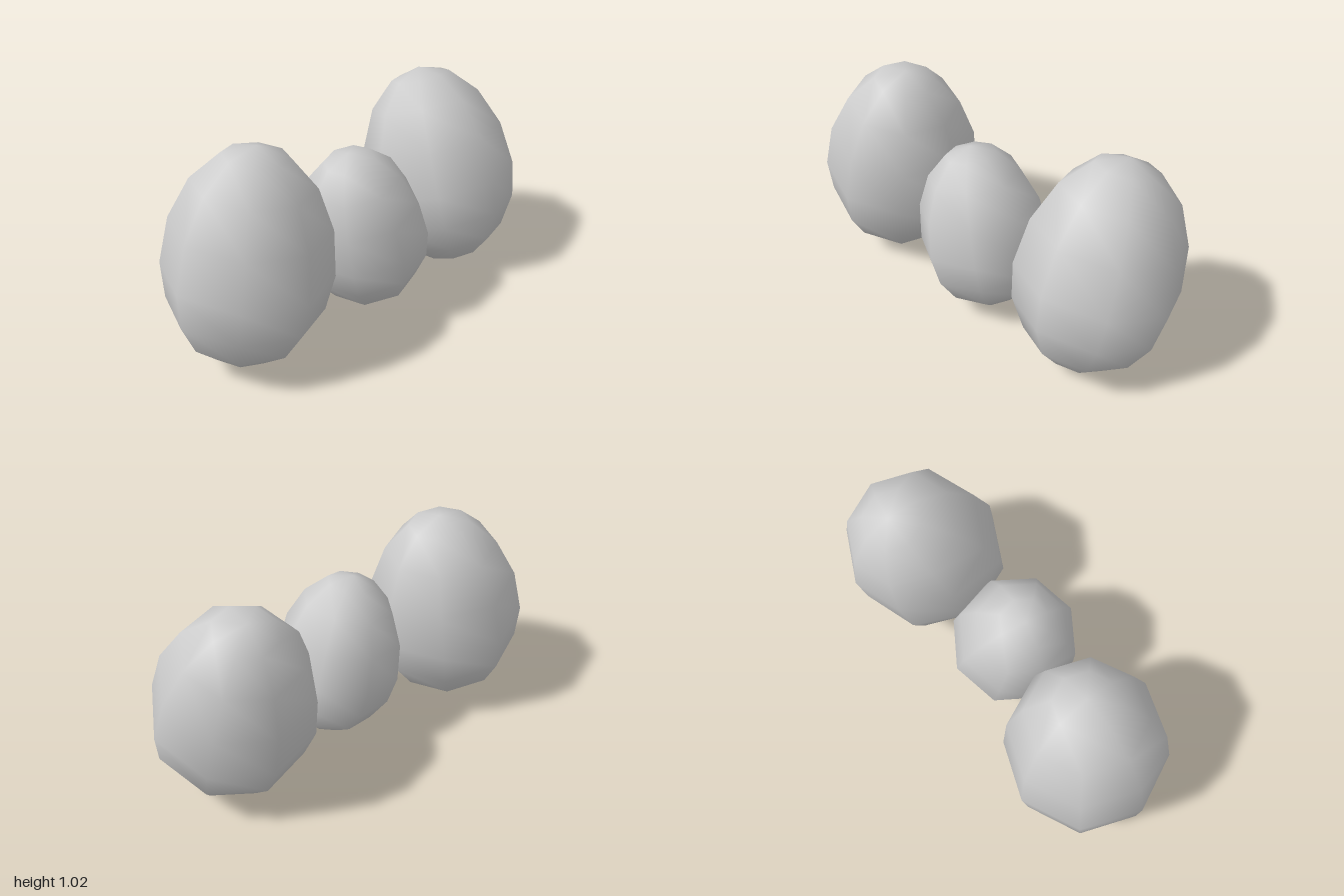
import * as THREE from 'three';
import { mergeVertices } from 'three/addons/utils/BufferGeometryUtils.js';

const RADIUS = 0.38;  // widest ring
const UPPER = 0.575;  // height above the widest ring
const LOWER = 0.445;  // depth below the widest ring

// Eight-sided low-poly egg: a sphere stretched more above than below its equator
function eggGeometry() {
  let geometry = new THREE.SphereGeometry(1, 8, 8);
  geometry.deleteAttribute('uv');
  geometry.deleteAttribute('normal');
  geometry = mergeVertices(geometry, 1e-4);
  const p = geometry.attributes.position;
  for (let i = 0; i < p.count; i++) {
    const y = p.getY(i);
    p.setXYZ(i, p.getX(i) * RADIUS, y * (y > 0 ? UPPER : LOWER), p.getZ(i) * RADIUS);
  }
  geometry.computeVertexNormals();
  return geometry;
}

export function createModel() {
  const group = new THREE.Group();
  group.name = 'eggs';
  const material = new THREE.MeshStandardMaterial({ color: 0xcccccc });
  const geometry = eggGeometry();
  const rad = THREE.MathUtils.degToRad;

  // Each egg: centre of the widest ring, scale, lean about x and z, turn about its own axis
  const eggs = [
    { name: 'rightEgg', at: [-0.63, 0.455, 0.065], scale: 1, lean: [0, -8], turn: 7.5 },
    { name: 'middleEgg', at: [0.01, 0.385, 0.075], scale: 0.81, lean: [0, 11.5], turn: -4 },
    { name: 'leftEgg', at: [0.62, 0.443, -0.047], scale: 1, lean: [-16.8, 2], turn: 1 },
  ];
  for (const { name, at, scale, lean, turn } of eggs) {
    const egg = new THREE.Mesh(geometry, material);
    egg.name = name;
    egg.position.set(...at);
    egg.scale.setScalar(scale);
    egg.rotation.set(rad(lean[0]), rad(turn), rad(lean[1]), 'XZY');
    group.add(egg);
  }
  return group;
}
